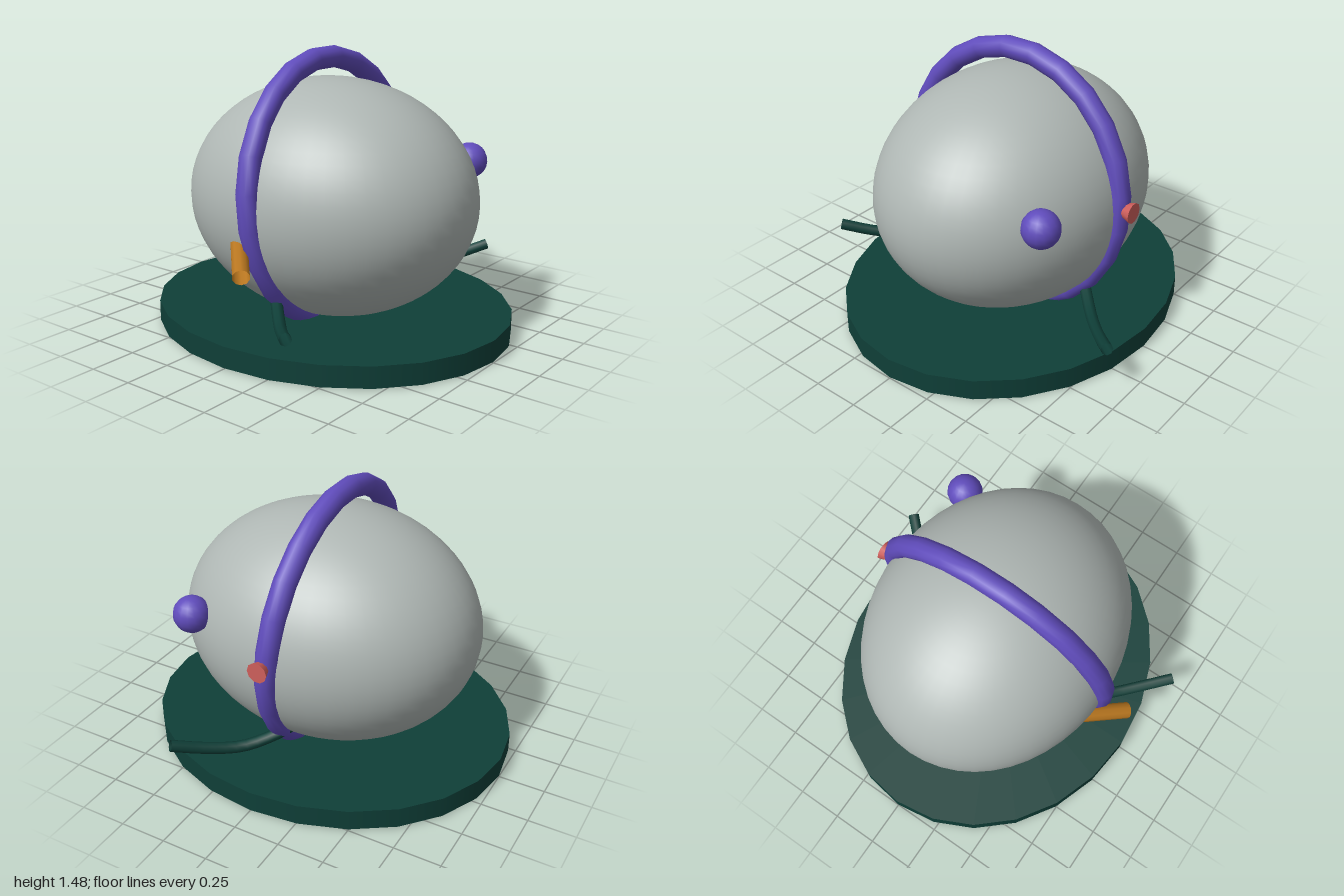
import * as THREE from 'three';

const paint = (name, color, side = THREE.FrontSide) => {
  const m = new THREE.MeshStandardMaterial({ color, side });
  m.name = name;
  return m;
};

export function createModel() {
  const model = new THREE.Group();
  const grey = paint('paleGrey', 0xafb7b4);
  const purple = paint('purple', 0x604cbc);
  const green = paint('darkGreen', 0x0f3f38, THREE.DoubleSide);
  const red = paint('coralRed', 0xcf5f5c);
  const orange = paint('ochre', 0xb8761f, THREE.DoubleSide);

  const add = (name, geometry, material, x = 0, y = 0, z = 0) => {
    const mesh = new THREE.Mesh(geometry, material);
    mesh.name = name;
    mesh.position.set(x, y, z);
    model.add(mesh);
    return mesh;
  };
  const tube = (points, segments, radius, sides) =>
    new THREE.TubeGeometry(
      new THREE.CatmullRomCurve3(points.map((p) => new THREE.Vector3(...p))),
      segments, radius, sides);

  // Oval base plate
  add('basePlate', new THREE.CylinderGeometry(1, 1, 0.112, 24), green, 0, 0.064, 0)
    .scale.x = 0.863;

  // Egg-shaped body
  add('body', new THREE.SphereGeometry(1, 48, 32), grey, 0, 0.7, 0)
    .scale.set(0.675, 0.63, 0.812);

  // Hoop around the body, leaning slightly back
  const hoopShape = new THREE.TorusGeometry(0.69, 0.058, 12, 24);
  hoopShape.rotateZ(Math.PI / 24).scale(0.966, 1, 1.03);
  add('hoop', hoopShape, purple, 0, 0.742, 0).rotation.x = -0.08;

  // Ball on the left cheek
  add('ball', new THREE.SphereGeometry(0.097, 16, 12), purple, 0.56, 0.856, 0.505);

  // Flared knob on the left side
  const knobShape = new THREE.CylinderGeometry(0.055, 0.03, 0.07, 10);
  knobShape.rotateZ(-Math.PI / 2);
  add('knob', knobShape, red, 0.715, 0.77, 0);

  // Open spout on the right side
  add('spout', tube([[-0.58, 0.57, -0.145], [-0.805, 0.47, 0.075]], 1, 0.044, 10), orange);

  // Curved arms, mirrored
  for (const s of [1, -1]) {
    const path = [[0.44, 0.29, -0.03], [0.53, 0.235, 0.06], [0.65, 0.2, 0.18],
      [0.78, 0.228, 0.31], [0.91, 0.282, 0.435]].map(([x, y, z]) => [s * x, y, z]);
    add(s > 0 ? 'leftArm' : 'rightArm', tube(path, 12, 0.031, 8), green);
  }

  return model;
}
